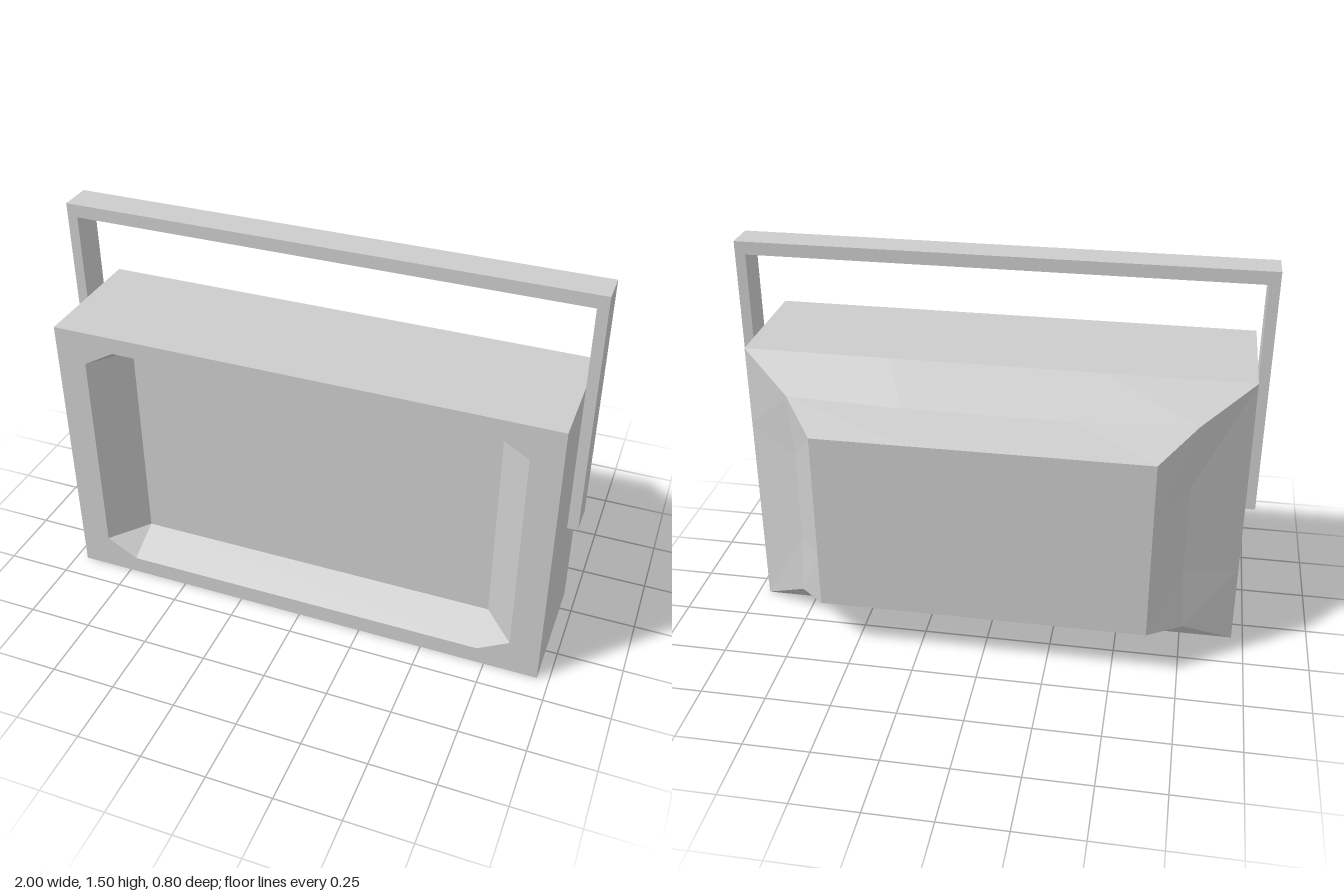
import * as THREE from 'three';

const V = (x, y, z) => new THREE.Vector3(x, y, z);

// Rectangular ring, counter-clockwise from the front: corners plus two points per side.
// dent pulls the side points inward for a slightly hollow outline.
function ring(w, y0, y1, z, dent = 0) {
  const c = [[w, y0], [w, y1], [-w, y1], [-w, y0]];
  const inward = [[-1, 0], [0, -1], [1, 0], [0, 1]];
  const pts = [];
  c.forEach(([x, y], i) => {
    const [nx, ny] = c[(i + 1) % 4];
    const [dx, dy] = inward[i];
    pts.push(V(x, y, z));
    for (const t of [0.29, 0.71]) {
      pts.push(V(x + (nx - x) * t + dx * dent, y + (ny - y) * t + dy * dent, z));
    }
  });
  return pts;
}

// Triangles between two rings of equal length; faces outward when a is in front of b
function loft(a, b) {
  const tris = [];
  a.forEach((p, i) => {
    const j = (i + 1) % a.length;
    tris.push([p, b[i], b[j]], [p, b[j], a[j]]);
  });
  return tris;
}

// Flat cap, facing +z for a counter-clockwise ring
const cap = (r) => {
  const mid = r.reduce((s, p) => s.add(p), V(0, 0, 0)).divideScalar(r.length);
  return r.map((p, i) => [mid, p, r[(i + 1) % r.length]]);
};

function toGeometry(tris) {
  const pts = tris.filter((t) => new THREE.Triangle(...t).getArea() > 1e-7).flat();
  const geo = new THREE.BufferGeometry().setFromPoints(pts);
  geo.computeVertexNormals();
  return geo;
}

export function createModel() {
  const group = new THREE.Group();
  const mat = new THREE.MeshStandardMaterial({ color: 0xcccccc, flatShading: true });
  const add = (parent, name, geo) => {
    const m = new THREE.Mesh(geo, mat);
    m.name = name;
    parent.add(m);
    return m;
  };
  const W = 0.955, H = 1.115, FRONT = 0.4;

  // Casing: straight front half, then two tapering steps to the back panel
  const rings = [
    ring(W, 0, H, FRONT),
    ring(W, 0, H, -0.09),
    ring(0.76, 0.125, 0.99, -0.218, 0.015),
    ring(0.625, 0.2, 0.92, -0.4),
  ];
  const shell = [];
  for (let i = 0; i < 3; i++) shell.push(...loft(rings[i], rings[i + 1]));
  shell.push(...cap([...rings[3]].reverse()));
  add(group, 'casing', toGeometry(shell));

  // Recess: chamfered opening sloping back to a rectangular screen
  const opening = [], screen = [];
  for (const [sx, top, sideFirst] of [[1, 0, 0], [1, 1, 1], [-1, 1, 0], [-1, 0, 1]]) {
    const yIn = top ? 0.98 : 0.14, yOut = top ? 1.05 : 0.07;
    const pair = [V(sx * 0.72, yOut, FRONT), V(sx * 0.84, yIn, FRONT)];
    opening.push(...(sideFirst ? pair.reverse() : pair));
    screen.push(V(sx * 0.72, yIn, 0.255), V(sx * 0.72, yIn, 0.255));
  }
  add(group, 'screenSurround', toGeometry(loft(screen, opening)));
  add(group, 'screen', toGeometry(cap(screen)));

  // Front frame with the chamfered opening cut out
  const frame = new THREE.Shape([[-W, 0], [W, 0], [W, H], [-W, H]].map((p) => new THREE.Vector2(...p)));
  frame.holes.push(new THREE.Path(opening.map((p) => new THREE.Vector2(p.x, p.y))));
  add(group, 'frontFrame', new THREE.ShapeGeometry(frame)).position.z = FRONT;

  // Carrying handle: an upside-down U over the casing
  const handle = new THREE.Shape(
    [[-1, 0.53], [-0.96, 0.53], [-0.96, 1.445], [0.96, 1.445], [0.96, 0.53], [1, 0.53], [1, 1.495], [-1, 1.495]]
      .map((p) => new THREE.Vector2(...p)));
  add(group, 'handle', new THREE.ExtrudeGeometry(handle, { depth: 0.125, bevelEnabled: false })).position.z = 0.025;

  return group;
}
